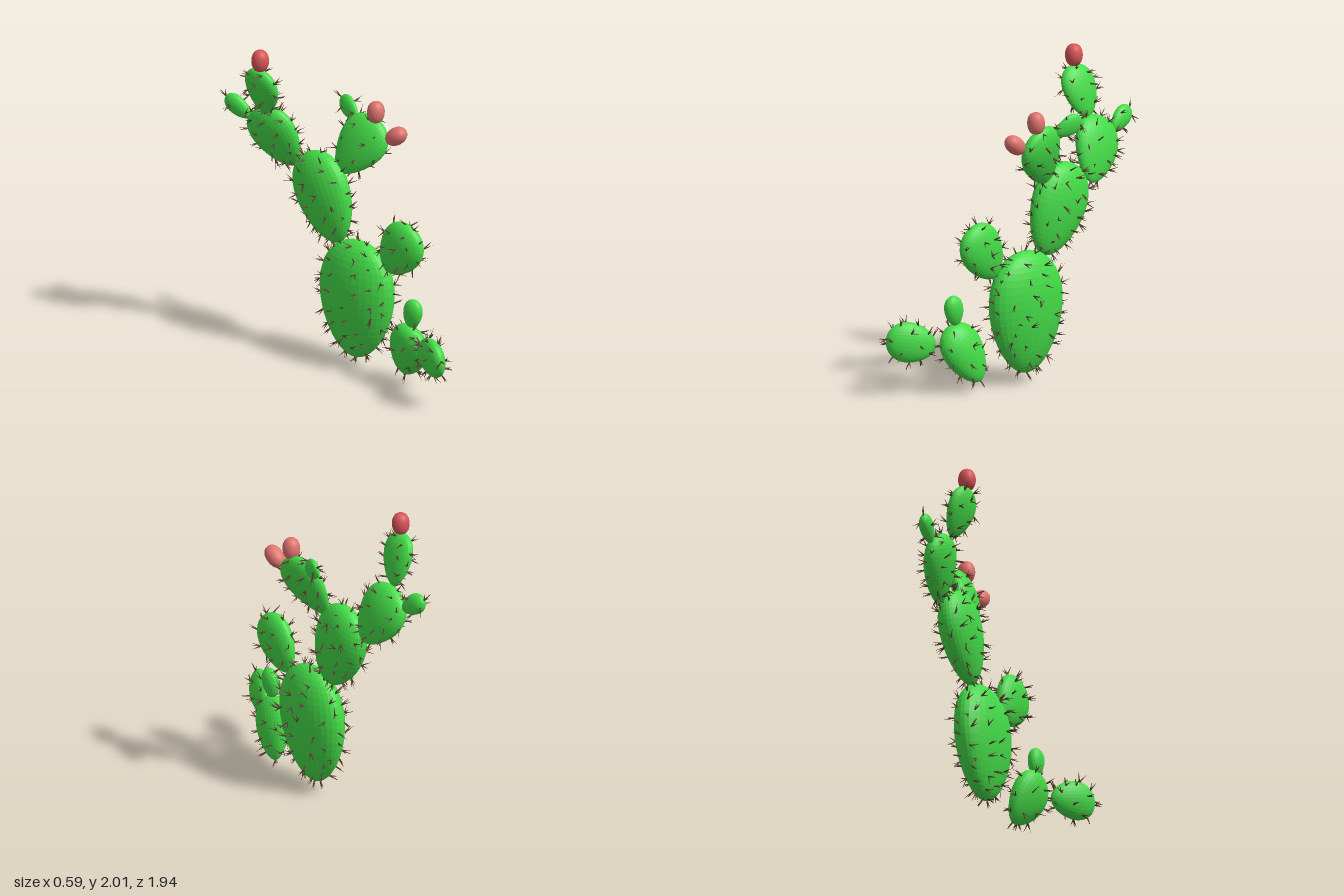
import * as THREE from 'three';
import { mergeGeometries } from 'three/addons/utils/BufferGeometryUtils.js';

const V = (p) => new THREE.Vector3(...p);
const green = new THREE.MeshStandardMaterial({ color: 0x44dc48, flatShading: true });
const brown = new THREE.MeshStandardMaterial({ color: 0x5a4030 });
const red = new THREE.MeshStandardMaterial({ color: 0xd85458 });
const pink = new THREE.MeshStandardMaterial({ color: 0xe0746e });

// Pads: base and tip points, width, thickness, egg factor, number of spine clusters
const PADS = [
  ['mainPad', [0.035, 0.05, 0.03], [0.05, 0.82, 0.055], 0.56, 0.26, 0.17, 84],
  ['upperPad', [0.04, 0.77, -0.1], [0.04, 1.32, -0.33], 0.42, 0.21, 0.2, 56],
  ['backPad', [0.06, 1.18, -0.47], [-0.06, 1.55, -0.66], 0.35, 0.15, 0.28, 38],
  ['topPad', [-0.09, 1.55, -0.585], [-0.19, 1.87, -0.54], 0.25, 0.11, 0.25, 24],
  ['backBud', [-0.04, 1.46, -0.74], [-0.075, 1.57, -0.905], 0.13, 0.08, 0.2, 7],
  ['frontUpperPad', [0.06, 1.23, -0.12], [0.2, 1.58, 0.09], 0.33, 0.13, 0.36, 28],
  ['upperBud', [0.19, 1.55, -0.08], [0.235, 1.64, -0.24], 0.13, 0.06, 0.2, 7],
  ['frontMiddlePad', [0.04, 0.69, 0.28], [0.04, 1.01, 0.5], 0.31, 0.14, 0.22, 30],
  ['lowPad', [0.04, 0.05, 0.41], [-0.06, 0.4, 0.58], 0.29, 0.16, 0.25, 24],
  ['lowFrontPad', [-0.09, 0.28, 0.66], [-0.23, 0.34, 0.945], 0.25, 0.12, 0.15, 24],
  ['lowBud', [-0.04, 0.4, 0.54], [-0.04, 0.59, 0.575], 0.135, 0.09, 0.15, 0],
];

// Fruits: base, tip, width, material
const FRUITS = [
  ['topFruit', [-0.18, 1.86, -0.545], [-0.18, 2.0, -0.545], 0.11, red],
  ['middleFruit', [0.18, 1.57, 0.075], [0.18, 1.71, 0.085], 0.11, pink],
  ['frontFruit', [0.17, 1.48, 0.185], [0.18, 1.57, 0.31], 0.11, pink],
];

let seed = 7;
function rand() {
  seed = (seed * 16807) % 2147483647;
  return seed / 2147483647;
}

// Group standing at the middle of base-tip, local y along the axis, local x through the flat side
function axisGroup(name, base, tip) {
  const a = V(base), b = V(tip);
  const y = b.clone().sub(a).normalize();
  const x = new THREE.Vector3(1, 0, 0).addScaledVector(y, -y.x).normalize();
  const z = x.clone().cross(y);
  const group = new THREE.Group();
  group.name = name;
  group.position.copy(a).add(b).multiplyScalar(0.5);
  group.quaternion.setFromRotationMatrix(new THREE.Matrix4().makeBasis(x, y, z));
  return group;
}

// Point of a unit sphere moved onto a flattened egg, wider towards the tip
function eggPoint(p, half, k) {
  const f = (1 + k * p.y) / (1 + k * k / 2);
  return p.set(p.x * f, p.y, p.z * f).multiply(half);
}

function eggGeometry(half, k) {
  const geo = new THREE.SphereGeometry(1, 32, 24);
  const pos = geo.attributes.position;
  const p = new THREE.Vector3();
  for (let i = 0; i < pos.count; i++) {
    eggPoint(p.fromBufferAttribute(pos, i), half, k);
    pos.setXYZ(i, p.x, p.y, p.z);
  }
  geo.computeVertexNormals();
  return geo;
}

// Clusters of three thin cones spread evenly over the pad
function spineGeometry(half, k, count) {
  const parts = [];
  const up = new THREE.Vector3(0, 1, 0);
  for (let i = 0; i < count; i++) {
    const y = -1 + (2 * i) / (count - 1);
    const r = Math.sqrt(1 - y * y);
    const angle = i * 2.39996 + (rand() - 0.5) * 0.6;
    const unit = new THREE.Vector3(r * Math.cos(angle), y, r * Math.sin(angle));
    const normal = unit.clone().divide(half).normalize();
    const at = eggPoint(unit, half, k);
    const lean = V([rand() - 0.5, rand() - 0.5, rand() - 0.5]).multiplyScalar(1.1);
    for (let j = 0; j < 3; j++) {
      const dir = V([rand() - 0.5, rand() - 0.5, rand() - 0.5])
        .multiplyScalar(1.1).add(lean).add(normal).normalize();
      const length = 0.05 + rand() * 0.025;
      const cone = new THREE.ConeGeometry(0.0055, length, 5, 1, true);
      cone.translate(0, length / 2 - 0.005, 0);
      cone.applyQuaternion(new THREE.Quaternion().setFromUnitVectors(up, dir));
      cone.translate(at.x, at.y, at.z);
      parts.push(cone);
    }
  }
  return mergeGeometries(parts);
}

function addMesh(group, name, geometry, material) {
  const mesh = new THREE.Mesh(geometry, material);
  mesh.name = name;
  group.add(mesh);
}

export function createModel() {
  const model = new THREE.Group();
  model.name = 'cactus';

  for (const [name, base, tip, width, thick, k, spines] of PADS) {
    const pad = axisGroup(name, base, tip);
    const half = new THREE.Vector3(thick / 2, V(base).distanceTo(V(tip)) / 2, width / 2);
    addMesh(pad, 'flesh', eggGeometry(half, k), green);
    if (spines) addMesh(pad, 'spines', spineGeometry(half, k, spines), brown);
    model.add(pad);
  }

  // Barrel-shaped fruits with blunt ends
  for (const [name, base, tip, width, material] of FRUITS) {
    const fruit = axisGroup(name, base, tip);
    const h = V(base).distanceTo(V(tip)) / 2, r = width / 2;
    const profile = [];
    for (let i = 0; i <= 16; i++) {
      const a = (i / 16) * Math.PI;
      profile.push(new THREE.Vector2(r * Math.pow(Math.max(Math.sin(a), 0), 0.8), -h * Math.cos(a)));
    }
    addMesh(fruit, 'skin', new THREE.LatheGeometry(profile, 24), material);
    model.add(fruit);
  }
  return model;
}
